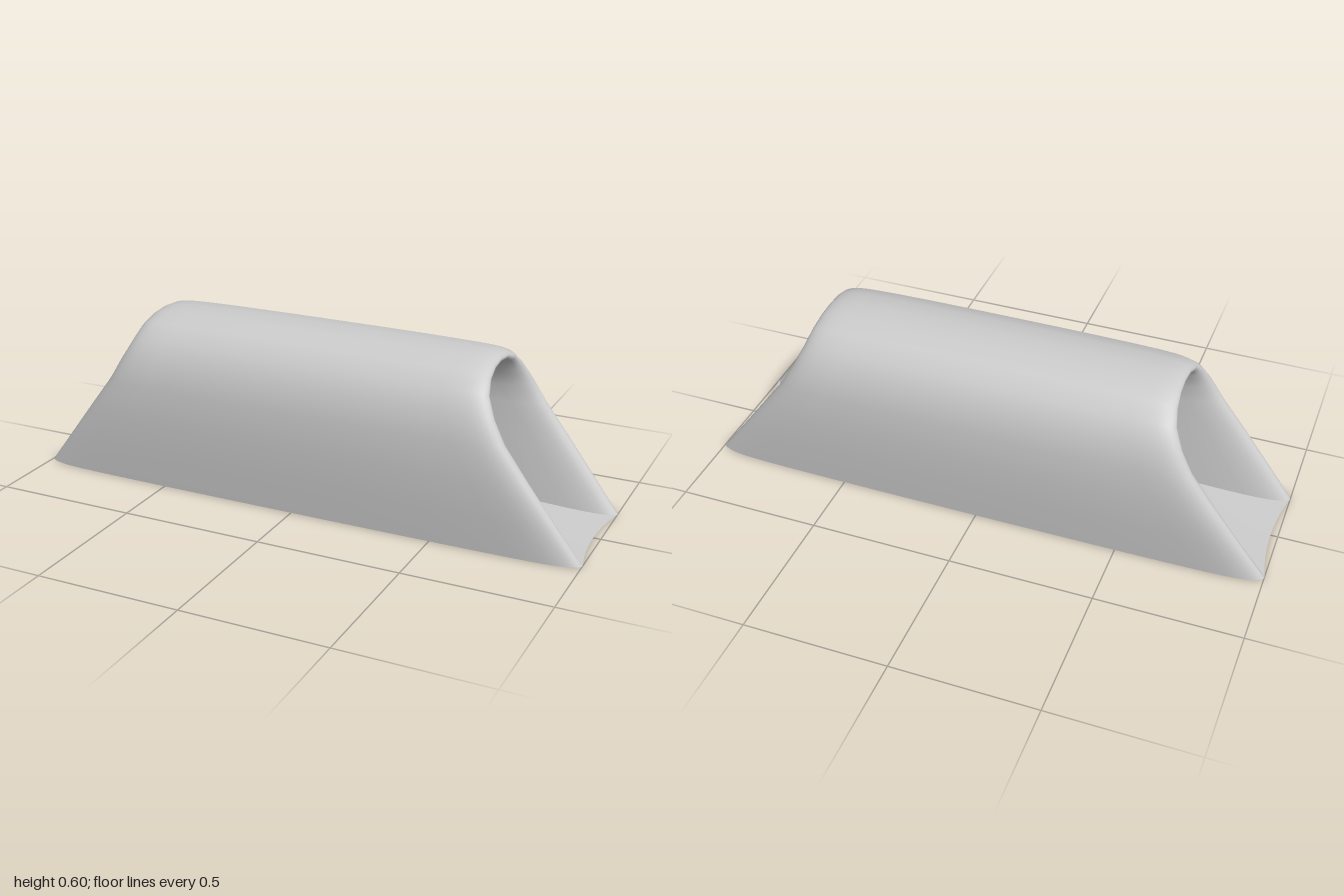
import * as THREE from 'three';

const material = new THREE.MeshStandardMaterial({ color: 0xcccccc, side: THREE.DoubleSide });

// Half arch from foot to crown: outer z, outer y, inner z, inner y, half length
const HALF_ARCH = [
  [0.257, 0, 0.119, 0, 1],
  [0.264, 0.12, 0.121, 0.12, 0.908],
  [0.267, 0.24, 0.122, 0.25, 0.815],
  [0.261, 0.36, 0.119, 0.36, 0.728],
  [0.24, 0.45, 0.113, 0.41, 0.685],
  [0.2, 0.52, 0.098, 0.455, 0.655],
  [0.146, 0.565, 0.07, 0.485, 0.643],
  [0.075, 0.59, 0.035, 0.498, 0.637],
  [0, 0.598, 0, 0.5, 0.635],
];

// Wall section from inner middle, round the rim, to outer middle:
// fraction of half length, fraction of wall thickness
const HALF_SECTION = [
  [0, 0], [0.5, 0.16], [0.85, 0.31], [0.96, 0.45], [1, 0.65],
  [0.975, 0.82], [0.91, 0.92], [0.78, 0.965], [0.4, 0.995], [0, 1],
];
const STEPS = 3; // subdivisions between section points

function wallSection() {
  const mirrored = HALF_SECTION.slice(1, -1).reverse().map(([f, u]) => [-f, u]);
  const points = [...HALF_SECTION, ...mirrored].map(([f, u]) => new THREE.Vector3(f, u, 0));
  const curve = new THREE.CatmullRomCurve3(points, true, 'centripetal');
  return curve.getPoints(points.length * STEPS).slice(0, -1);
}

// Sweep the wall section over the arch
function archGeometry(section) {
  const arch = [
    ...HALF_ARCH,
    ...HALF_ARCH.slice(0, -1).reverse().map(([oz, oy, iz, iy, l]) => [-oz, oy, -iz, iy, l]),
  ];
  const positions = [], indices = [], n = section.length;
  arch.forEach(([oz, oy, iz, iy, length], i) => {
    section.forEach(({ x, y: u }, j) => {
      positions.push(x * length, iy + (oy - iy) * u, iz + (oz - iz) * u);
      if (i === arch.length - 1) return;
      const a = i * n + j, b = i * n + (j + 1) % n;
      indices.push(a, a + n, b, b, a + n, b + n);
    });
  });
  const geometry = new THREE.BufferGeometry();
  geometry.setAttribute('position', new THREE.Float32BufferAttribute(positions, 3));
  geometry.setIndex(indices);
  geometry.computeVertexNormals();
  return geometry;
}

// Concave end edge of the floor
const EDGE_Z = 0.209;
const floorEnd = (z) => 0.975 + 0.025 * (z / EDGE_Z) ** 2;

// Floor rising gently from both ends to the middle
function floorGeometry() {
  const geometry = new THREE.PlaneGeometry(2, 2 * EDGE_Z, 40, 12).rotateX(-Math.PI / 2);
  const p = geometry.attributes.position;
  for (let i = 0; i < p.count; i++) {
    const x = p.getX(i), z = p.getZ(i);
    p.setXYZ(i, x * floorEnd(z), 0.061 * (1 - Math.abs(x) ** 1.3), z);
  }
  geometry.computeVertexNormals();
  return geometry;
}

// Flat underside following the outer wall and the concave ends
function undersideGeometry(section) {
  const [outer, , inner] = HALF_ARCH[0];
  const side = section.slice(4 * STEPS, 14 * STEPS + 1)
    .map(({ x, y: u }) => new THREE.Vector2(x, inner + (outer - inner) * u));
  const end = [];
  for (let k = 1; k < 12; k++) {
    const z = EDGE_Z * (1 - k / 6);
    end.push(new THREE.Vector2(-floorEnd(z), z));
  }
  const half = [...side, ...end];
  const outline = [...half, ...half.map((v) => v.clone().negate())];
  return new THREE.ShapeGeometry(new THREE.Shape(outline)).rotateX(Math.PI / 2);
}

export function createModel() {
  const group = new THREE.Group();
  group.name = 'archedTunnel';
  const section = wallSection();
  const add = (name, geometry) => {
    const mesh = new THREE.Mesh(geometry, material);
    mesh.name = name;
    group.add(mesh);
  };
  add('archWall', archGeometry(section));
  add('floor', floorGeometry());
  add('underside', undersideGeometry(section));
  return group;
}
